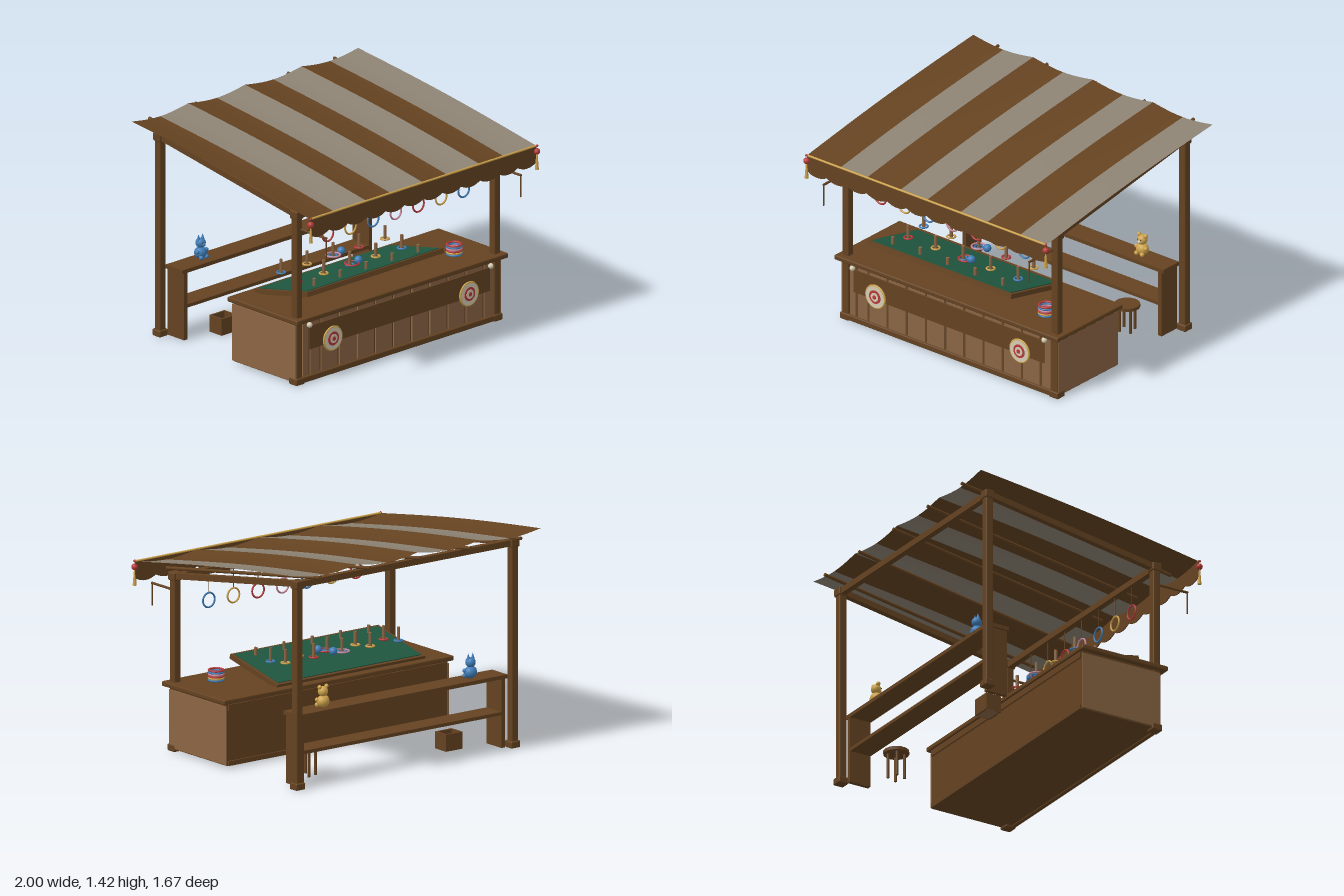
import * as THREE from 'three';
import { RoundedBoxGeometry } from 'three/addons/geometries/RoundedBoxGeometry.js';

const mat = (name, color, side = THREE.FrontSide) => {
  const m = new THREE.MeshStandardMaterial({ color, side });
  m.name = name;
  return m;
};

export function createModel() {
  const root = new THREE.Group();
  root.name = 'ringTossStall';
  const wood = mat('darkWood', 0x654321, THREE.DoubleSide);
  const plank = mat('lightWood', 0x8b6544);
  const canvas = mat('paleCanvas', 0x8c8273, THREE.DoubleSide);
  const green = mat('greenFelt', 0x1f5640);
  const red = mat('red', 0xb83a3a);
  const gold = mat('gold', 0xcda24a);
  const blue = mat('blue', 0x3f7db8);
  const pink = mat('pink', 0xc98a9c);
  const cream = mat('cream', 0xd6ccb4);

  const add = (name, geo, m, x = 0, y = 0, z = 0, parent = root) => {
    const mesh = new THREE.Mesh(geo, m);
    mesh.name = name;
    mesh.position.set(x, y, z);
    parent.add(mesh);
    return mesh;
  };
  const box = (name, w, h, d, m, x, y, z, parent) =>
    add(name, new THREE.BoxGeometry(w, h, d), m, x, y, z, parent);
  const rounded = (name, w, h, d, m, x, y, z) =>
    add(name, new RoundedBoxGeometry(w, h, d, 2, 0.008), m, x, y, z);
  const ball = (name, r, m, x, y, z, parent) =>
    add(name, new THREE.SphereGeometry(r, 20, 14), m, x, y, z, parent);
  const cyl = (name, r, h, m, x, y, z, parent) =>
    add(name, new THREE.CylinderGeometry(r, r, h, 14), m, x, y, z, parent);
  const ring = (name, r, t, m, x, y, z, parent) =>
    add(name, new THREE.TorusGeometry(r, t, 8, 32), m, x, y, z, parent);

  // Frame: posts, feet, caps and sloping side beams
  for (const s of [-1, 1]) {
    for (const [z, h] of [[0.566, 1.13], [-0.672, 1.325]]) {
      rounded('post', 0.052, h, 0.052, wood, s * 0.857, h / 2, z);
      rounded('postFoot', 0.072, 0.045, 0.072, wood, s * 0.857, 0.0225, z);
      rounded('postCap', 0.066, 0.055, 0.066, wood, s * 0.857, h, z);
    }
    const beam = box('sideBeam', 0.04, 0.038, 1.26, wood, s * 0.857, 1.23, -0.053);
    beam.rotation.x = Math.atan2(0.2, 1.24);
    // Bracket arm with a hanging rod
    cyl('bracketArm', 0.008, 0.24, wood, s * 0.842, 1.03, 0.7).rotation.x = Math.PI / 2;
    cyl('bracketDrop', 0.005, 0.145, wood, s * 0.842, 0.9575, 0.817);
  }
  box('frontBeam', 1.7, 0.04, 0.04, wood, 0, 1.125, 0.566);
  box('backBeam', 1.7, 0.04, 0.04, wood, 0, 1.325, -0.672);
  for (const x of [-0.8, -0.4, 0, 0.4, 0.8]) {
    cyl('rafter', 0.011, 1.57, wood, x, 1.265, -0.055).rotation.x = -Math.PI / 2 + Math.atan2(0.25, 1.55);
  }

  // Canopy: eight stripes sagging between the ridges
  const W = 0.98, stripe = W / 4;
  for (let i = 0; i < 8; i++) {
    const geo = new THREE.PlaneGeometry(stripe, 1.61, 10, 16);
    geo.rotateX(-Math.PI / 2);
    geo.translate(-W + stripe * (i + 0.5), 0, 0.005);
    const p = geo.attributes.position;
    for (let k = 0; k < p.count; k++) {
      const t = (0.81 - p.getZ(k)) / 1.61;
      const sag = 0.026 * Math.abs(Math.sin(Math.PI * p.getX(k) / 0.49));
      p.setY(k, 1.192 + 0.228 * t + 0.015 * Math.sin(Math.PI * t) - sag);
    }
    geo.computeVertexNormals();
    add('canopyStripe', geo, i % 2 ? canvas : wood);
  }

  // Scalloped valance, trim, end balls and tassels
  const v = new THREE.Shape();
  const n = 12, sw = 2 * W / n;
  v.moveTo(-W, 1.195);
  v.lineTo(-W, 1.082);
  for (let i = 0; i < n; i++) {
    const x = -W + i * sw;
    v.quadraticCurveTo(x + sw / 2, 1.036, x + sw, 1.082);
  }
  v.lineTo(W, 1.195);
  add('valance', new THREE.ExtrudeGeometry(v, { depth: 0.006, bevelEnabled: false, curveSegments: 8 }), wood, 0, 0, 0.81);
  cyl('valanceTrim', 0.007, 2 * W, gold, 0, 1.192, 0.816).rotation.z = Math.PI / 2;
  for (const s of [-1, 1]) {
    ball('endBall', 0.021, red, s * 0.979, 1.155, 0.82);
    ball('trimTip', 0.009, red, s * 0.979, 1.193, 0.82);
    add('tassel', new THREE.CylinderGeometry(0.005, 0.013, 0.1, 12), gold, s * 0.979, 1.085, 0.82);
  }

  // Prize rings hanging from the front beam
  [red, gold, blue, pink, red, gold, blue].forEach((m, i) => {
    const x = (i - 3) * 0.196;
    ring('hangingRing', 0.047, 0.006, m, x, 0.93, 0.566);
    cyl('ringString', 0.0025, 0.13, wood, x, 1.045, 0.566);
  });

  // Counter: core, end panels, planked front and worktop
  box('counterCore', 1.76, 0.4, 0.56, wood, 0, 0.215, 0.295);
  for (const s of [-1, 1]) box('endPanel', 0.008, 0.375, 0.575, plank, s * 0.885, 0.21, 0.3);
  rounded('baseRail', 1.775, 0.04, 0.03, wood, 0, 0.025, 0.585);
  box('backTopRail', 1.74, 0.04, 0.012, wood, 0, 0.39, 0.01);
  box('backBaseRail', 1.74, 0.03, 0.012, wood, 0, 0.03, 0.01);
  const seams = [-0.83, -0.765];
  for (let k = 0; k < 10; k++) seams.push(-0.67 + 0.157 * k);
  seams[11] = 0.74;
  seams.push(0.83);
  for (let i = 0; i < seams.length - 1; i++) {
    const w = seams[i + 1] - seams[i] - 0.018;
    box('frontPlank', w, 0.355, 0.012, plank, (seams[i] + seams[i + 1]) / 2, 0.222, 0.58);
  }
  rounded('counterTop', 1.83, 0.032, 0.635, wood, 0, 0.43, 0.313);
  box('frontBanner', 1.56, 0.155, 0.008, wood, 0, 0.297, 0.598);
  for (const s of [-1, 1]) {
    ball('bannerKnob', 0.018, cream, s * 0.785, 0.385, 0.606);
    // Round target
    const t = new THREE.Group();
    t.name = 'target';
    t.position.set(s * 0.59, 0.25, 0.612);
    root.add(t);
    [[0.077, cream], [0.046, red], [0.03, cream], [0.014, red]].forEach(([r, m], i) => {
      cyl('targetDisc', r, 0.012, m, 0, 0, i * 0.003, t).rotation.x = Math.PI / 2;
    });
    ring('targetRim', 0.076, 0.007, gold, 0, 0, 0, t);
  }

  // Tilted game board
  const board = new THREE.Group();
  board.name = 'gameBoard';
  board.position.set(-0.14, 0.5, 0.29);
  board.rotation.x = -0.212;
  root.add(board);
  box('boardFrame', 1.18, 0.032, 0.49, wood, 0, 0, 0, board);
  box('boardFelt', 1.14, 0.008, 0.45, green, 0, 0.017, 0, board);

  // Pegs in stepped rows with a ring at each foot
  const ringColors = [gold, blue, red, gold, blue];
  [[0.445, 0.56], [0.295, 0.586], [0.144, 0.608]].forEach(([z, y], row) => {
    for (let i = 0; i < 5; i++) {
      const x = -0.59 + i * 0.225;
      cyl('peg', 0.0105, 0.09, plank, x, y, z);
      const foot = ring('pegRing', 0.026, 0.006, ringColors[(i + row * 2) % 5], x, y - 0.042, z);
      foot.rotation.x = Math.PI / 2;
    }
  });
  ring('tossedRing', 0.045, 0.006, pink, -0.14, 0.57, 0.144).rotation.x = Math.PI / 2;
  ring('tossedRing', 0.045, 0.006, red, -0.12, 0.548, 0.295).rotation.x = Math.PI / 2;
  ball('tossBall', 0.026, blue, -0.07, 0.58, 0.144);
  ball('tossBall', 0.026, blue, -0.07, 0.56, 0.3);

  // Stack of spare rings
  [blue, gold, red, pink, blue, red].forEach((m, i) => {
    ring('spareRing', 0.046, 0.007, m, 0.645, 0.454 + i * 0.0125, 0.42).rotation.x = Math.PI / 2;
  });

  // Prize shelf
  box('topShelf', 1.66, 0.025, 0.155, wood, 0, 0.457, -0.575);
  box('middleShelf', 1.62, 0.022, 0.15, wood, 0, 0.222, -0.575);
  for (const s of [-1, 1]) box('shelfEnd', 0.028, 0.445, 0.15, wood, s * 0.8, 0.2225, -0.575);

  // Plush prizes
  const plush = (name, x, m, pointed) => {
    const g = new THREE.Group();
    g.name = name;
    g.position.set(x, 0.47, -0.585);
    root.add(g);
    ball('body', 0.039, m, 0, 0.039, 0, g).scale.set(1.1, 1, 1);
    ball('head', 0.033, m, 0, 0.103, 0, g);
    ball('muzzle', 0.012, pointed ? m : cream, 0, 0.096, 0.028, g);
    for (const s of [-1, 1]) {
      if (pointed) add('ear', new THREE.ConeGeometry(0.014, 0.045, 12), m, s * 0.018, 0.14, 0, g);
      else ball('ear', 0.014, m, s * 0.027, 0.133, 0, g);
      ball('arm', 0.014, m, s * 0.038, 0.052, 0.012, g);
      ball('foot', 0.015, m, s * 0.023, 0.014, 0.03, g);
      ball('eye', 0.004, wood, s * 0.012, 0.112, 0.031, g);
    }
  };
  plush('plushBear', 0.585, gold, false);
  plush('plushCat', -0.59, blue, true);

  // Stool
  cyl('stoolSeat', 0.082, 0.022, wood, 0.59, 0.175, -0.432);
  for (let i = 0; i < 4; i++) {
    const a = Math.PI * (i / 2 + 0.15);
    cyl('stoolLeg', 0.009, 0.165, wood, 0.59 + 0.052 * Math.cos(a), 0.0825, -0.432 + 0.052 * Math.sin(a));
  }

  // Open crate on the floor
  box('crateBase', 0.13, 0.012, 0.11, plank, -0.52, 0.006, -0.455);
  for (const s of [-1, 1]) {
    box('crateSide', 0.012, 0.11, 0.11, wood, -0.52 + s * 0.06, 0.055, -0.455);
    box('crateSide', 0.13, 0.11, 0.012, wood, -0.52, 0.055, -0.455 + s * 0.05);
  }
  return root;
}
